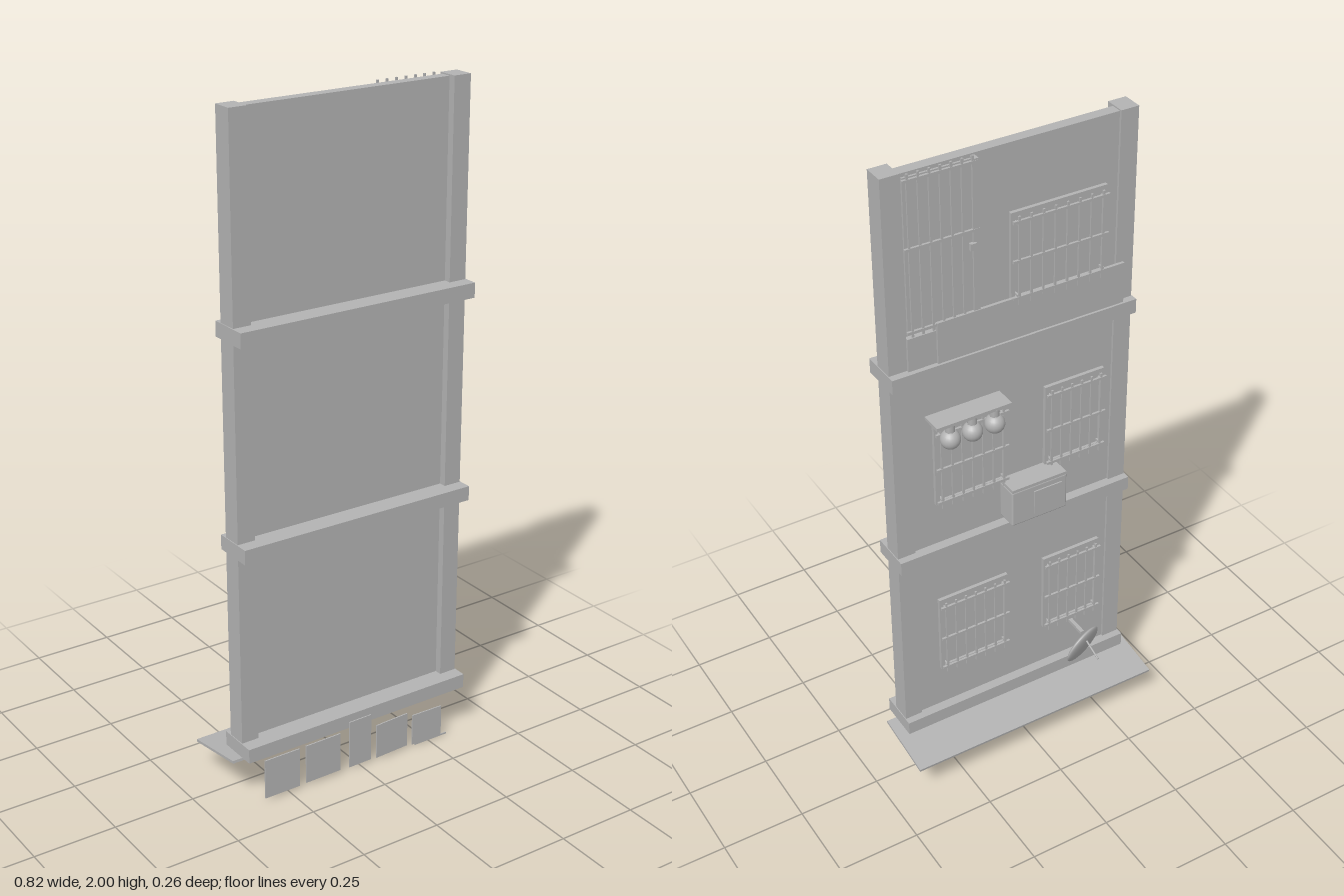
import * as THREE from 'three';
import { RoundedBoxGeometry } from 'three/addons/geometries/RoundedBoxGeometry.js';

export function createModel() {
  const model = new THREE.Group();
  model.name = 'buildingFacade';
  const grey = new THREE.MeshStandardMaterial({ color: 0xb2b2b2 });
  grey.name = 'plasterGrey';

  const add = (name, geometry, parent = model) => {
    const mesh = new THREE.Mesh(geometry, grey);
    mesh.name = name;
    parent.add(mesh);
    return mesh;
  };
  // Box given by its limits on each axis
  const box = (name, x0, x1, y0, y1, z0, z1, parent = model) => {
    const mesh = add(name, new THREE.BoxGeometry(x1 - x0, y1 - y0, z1 - z0), parent);
    mesh.position.set((x0 + x1) / 2, (y0 + y1) / 2, (z0 + z1) / 2);
    return mesh;
  };
  // Round rod between two points
  const rod = (name, a, b, r, parent = model) => {
    const p = new THREE.Vector3(...a), q = new THREE.Vector3(...b);
    const mesh = add(name, new THREE.CylinderGeometry(r, r, p.distanceTo(q), 8), parent);
    mesh.position.copy(p).lerp(q, 0.5);
    mesh.quaternion.setFromUnitVectors(new THREE.Vector3(0, 1, 0), q.sub(p).normalize());
    return mesh;
  };

  // Main wall, corner columns and floor bands
  box('wall', -0.325, 0.325, 0.15, 1.996, 0.027, 0.06);
  for (const s of [-1, 1]) {
    const column = add('column', new THREE.BoxGeometry(0.055, 1.84, 0.062));
    column.position.set(s * 0.352, 1.08, 0.051);
  }
  for (const y of [0.14, 0.763, 1.381]) {
    box('floorBand', -0.382, 0.382, y, y + 0.044, -0.002, 0.123);
  }

  // Barred windows on the rear wall
  const grille = (parent, x0, x1, y0, y1, z, count, rails) => {
    for (let i = 0; i < count; i++) {
      const x = x0 + (x1 - x0) * (i + 0.5) / count;
      box('bar', x - 0.003, x + 0.003, y0, y1, z, z + 0.005, parent);
    }
    for (const t of rails) {
      const y = y0 + (y1 - y0) * t;
      box('rail', x0, x1, y - 0.004, y + 0.004, z - 0.001, z + 0.006, parent);
    }
  };
  const barredWindow = (x0, x1, y0, y1, count) => {
    const win = new THREE.Group();
    win.name = 'barredWindow';
    model.add(win);
    const f = 0.012;
    box('frameTop', x0, x1, y1 - f, y1, 0.016, 0.028, win);
    box('frameBottom', x0, x1, y0, y0 + f, 0.016, 0.028, win);
    box('frameSide', x0, x0 + f, y0 + f, y1 - f, 0.016, 0.028, win);
    box('frameSide', x1 - f, x1, y0 + f, y1 - f, 0.016, 0.028, win);
    box('pane', x0 + f, x1 - f, y0 + f, y1 - f, 0.023, 0.028, win);
    grille(win, x0, x1, y0 - 0.008, y1 - 0.008, 0.003, count, [0.08, 0.5, 0.94]);
    for (const x of [x0 + 0.015, x1 - 0.015]) {
      for (const y of [y0 + 0.02, y1 - 0.03]) {
        box('bracket', x - 0.003, x + 0.003, y - 0.003, y + 0.003, 0.005, 0.028, win);
      }
    }
  };
  for (const y of [0.33, 0.95]) {
    barredWindow(0.025, 0.255, y, y + 0.268, 7);
    barredWindow(-0.295, -0.1, y, y + 0.268, 6);
  }
  barredWindow(-0.287, 0.01, 1.535, 1.8, 8);

  // Balcony door with bars, handle and parapet
  const door = new THREE.Group();
  door.name = 'balconyDoor';
  model.add(door);
  box('doorLeaf', 0.12, 0.318, 1.53, 1.985, 0.021, 0.028, door);
  grille(door, 0.108, 0.325, 1.53, 2.0, 0.008, 7, [0.03, 0.55, 0.96]);
  box('doorPost', 0.108, 0.122, 1.53, 1.99, 0.008, 0.028, door);
  box('handle', 0.12, 0.138, 1.735, 1.755, 0.001, 0.012, door);
  box('doorStep', 0.235, 0.325, 1.42, 1.525, 0.012, 0.028, door);
  box('parapet', -0.343, 0.24, 1.405, 1.55, 0.005, 0.014);

  // Air conditioner
  const cooler = new THREE.Group();
  cooler.name = 'airConditioner';
  model.add(cooler);
  const body = add('coolerBody', new RoundedBoxGeometry(0.182, 0.118, 0.068, 2, 0.005), cooler);
  body.position.set(-0.047, 0.885, -0.009);
  box('coolerLid', -0.136, 0.043, 0.943, 0.953, -0.043, 0.027, cooler);
  box('coolerVent', -0.12, -0.028, 0.845, 0.925, -0.047, -0.042, cooler);
  box('coolerSidePanel', -0.142, -0.137, 0.845, 0.935, -0.035, 0.015, cooler);

  // Shelf with three globe lamps
  box('lampShelf', 0.042, 0.275, 1.245, 1.255, -0.04, 0.028);
  for (const x of [0.09, 0.16, 0.229]) {
    rod('lampNeck', [x, 1.247, -0.027], [x, 1.215, -0.027], 0.014);
    const globe = add('lampGlobe', new THREE.SphereGeometry(0.029, 20, 14));
    globe.position.set(x, 1.198, -0.028);
  }

  // Satellite dish on a wall arm
  const dish = add('satelliteDish', new THREE.SphereGeometry(0.069, 28, 16));
  dish.scale.y = 0.19;
  dish.quaternion.setFromUnitVectors(
    new THREE.Vector3(0, 1, 0), new THREE.Vector3(-0.35, -0.35, -1).normalize());
  dish.position.set(-0.207, 0.256, -0.044);
  box('dishArm', -0.213, -0.201, 0.296, 0.306, -0.042, 0.028);
  rod('dishFeed', [-0.207, 0.292, -0.05], [-0.207, 0.262, -0.13], 0.003);

  // Sloping awning over the ground floor
  const awning = add('awning', new THREE.BoxGeometry(0.824, 0.008, 0.206));
  awning.position.set(0, 0.119, -0.018);
  awning.rotation.x = -0.15;

  // Row of thin hanging boards: left, right, bottom, top, turn
  const boards = [
    [-0.332, -0.214, 0.008, 0.132, 0],
    [-0.192, -0.072, 0.01, 0.133, 0.01],
    [-0.04, 0.038, 0.008, 0.16, 0.02],
    [0.056, 0.172, 0.008, 0.118, 0.05],
    [0.19, 0.296, 0.005, 0.105, -0.02],
  ];
  for (const [x0, x1, y0, y1, turn] of boards) {
    box('hangingBoard', x0, x1, y0, y1, 0.123, 0.127).rotation.y = turn;
  }
  box('lowerStrip', 0.2, 0.318, 0, 0.005, 0.123, 0.126);

  return model;
}
